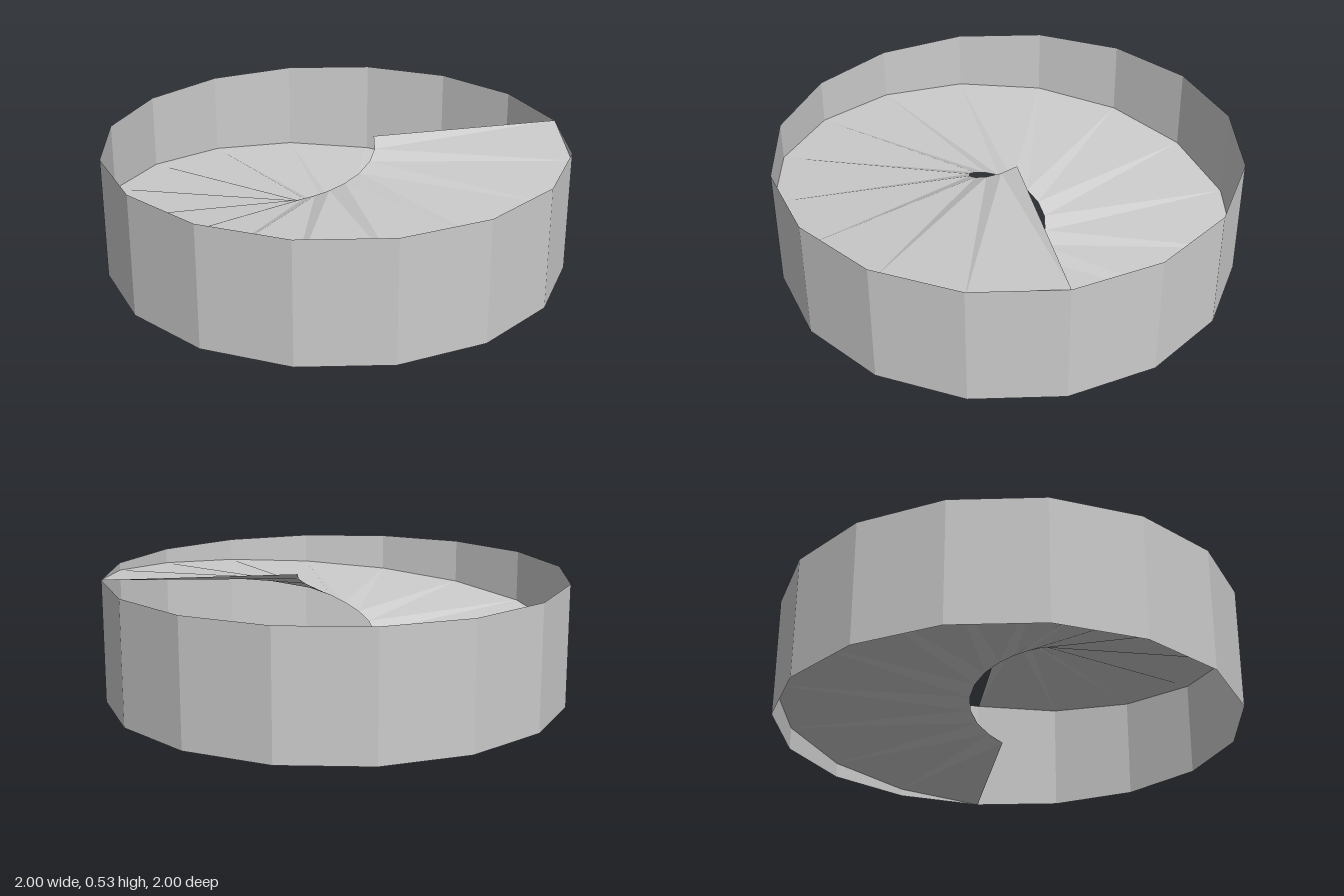
import * as THREE from 'three';

const SIDES = 16;
const OUTER = 1;
const INNER = 0.168;
const HEIGHT = 0.532;

// One full turn of sloping floor, rising anticlockwise from +x
function rampGeometry() {
  const positions = [];
  const index = [];
  for (let i = 0; i <= SIDES; i++) {
    const t = i / SIDES;
    const a = t * Math.PI * 2;
    for (const r of [INNER, OUTER]) {
      positions.push(r * Math.cos(a), t * HEIGHT, -r * Math.sin(a));
    }
    if (i < SIDES) {
      const k = i * 2;
      index.push(k, k + 1, k + 3, k, k + 3, k + 2);
    }
  }
  const geometry = new THREE.BufferGeometry();
  geometry.setAttribute('position', new THREE.Float32BufferAttribute(positions, 3));
  geometry.setIndex(index);
  geometry.computeVertexNormals();
  return geometry;
}

export function createModel() {
  const model = new THREE.Group();
  model.name = 'spiralRamp';
  const material = new THREE.MeshStandardMaterial({
    color: 0xcccccc, flatShading: true, side: THREE.DoubleSide,
  });

  // Thin outer wall, open at top and bottom
  const wall = new THREE.Mesh(
    new THREE.CylinderGeometry(OUTER, OUTER, HEIGHT, SIDES, 1, true), material);
  wall.name = 'outerWall';
  wall.position.y = HEIGHT / 2;

  // Helical floor around the open centre
  const ramp = new THREE.Mesh(rampGeometry(), material);
  ramp.name = 'ramp';

  model.add(wall, ramp);
  return model;
}
